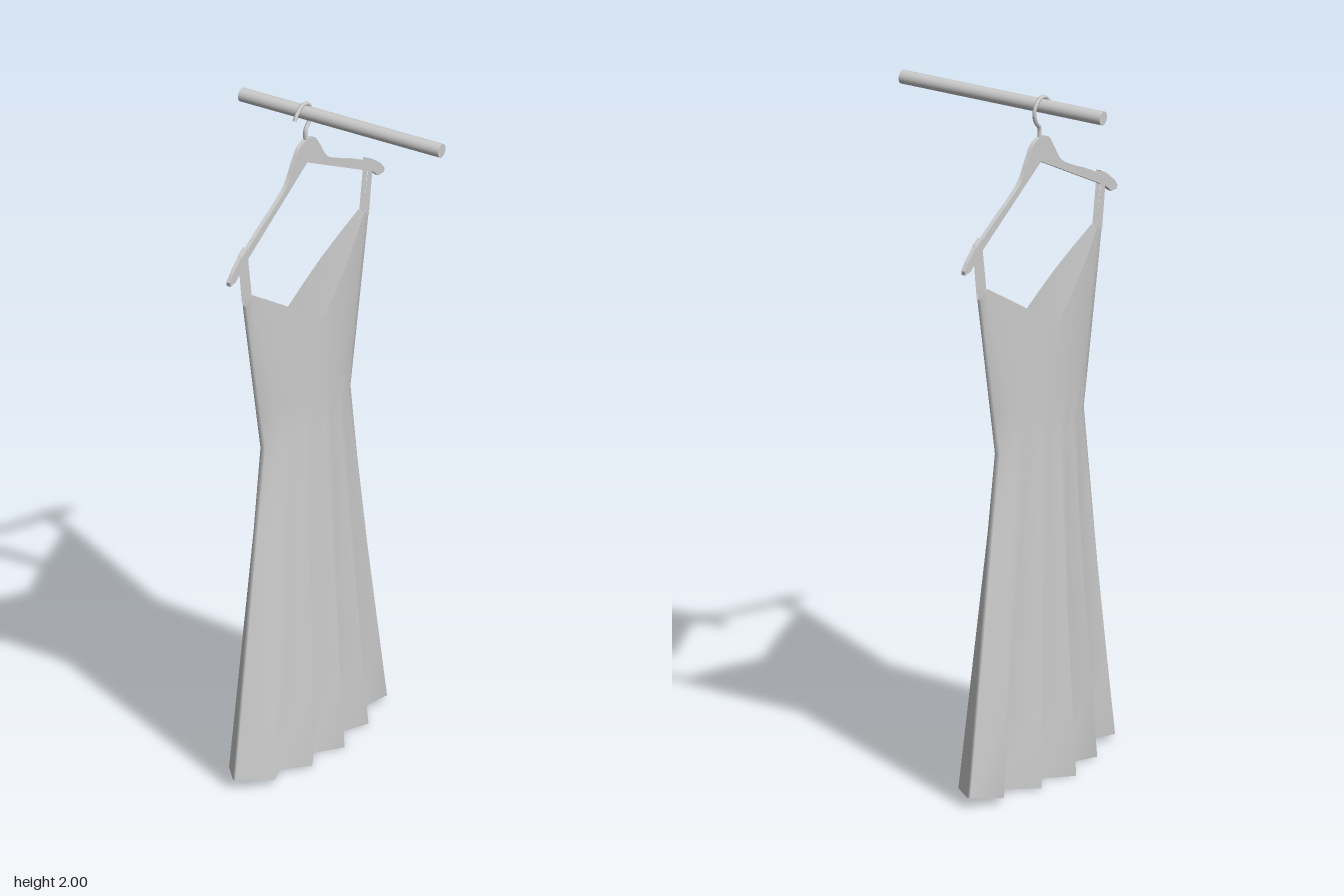
import * as THREE from 'three';

const CX = -0.125; // plane of the hanger and dress

function material(doubleSided = false) {
  return new THREE.MeshStandardMaterial({
    color: 0xcccccc,
    side: doubleSided ? THREE.DoubleSide : THREE.FrontSide,
  });
}

function addMesh(parent, name, geometry, doubleSided) {
  const mesh = new THREE.Mesh(geometry, material(doubleSided));
  mesh.name = name;
  parent.add(mesh);
  return mesh;
}

// Flat wooden hanger outline in (z, y), mirrored about the centre
function hangerGeometry() {
  const top = [[0, 1.883], [0.04, 1.872], [0.07, 1.835], [0.106, 1.785], [0.16, 1.752], [0.26, 1.705], [0.34, 1.662]];
  const tip = [[0.352, 1.665], [0.395, 1.632], [0.412, 1.612], [0.41, 1.6], [0.38, 1.602], [0.345, 1.63]];
  const curve = new THREE.SplineCurve(top.map(([z, y]) => new THREE.Vector2(z, y))).getPoints(24);
  const half = [...curve, ...tip.map(([z, y]) => new THREE.Vector2(z, y))];
  const mirrored = half.slice(1).reverse().map((p) => new THREE.Vector2(-p.x, p.y));
  const outline = [...half, new THREE.Vector2(0, 1.81), ...mirrored];
  const g = new THREE.ExtrudeGeometry(new THREE.Shape(outline), { depth: 0.012, bevelEnabled: false });
  return g.translate(0, 0, -0.006).rotateY(-Math.PI / 2).translate(CX, 0, 0);
}

// Dress levels: per column from centre to side seam, z, y and x offset to each side
const hemZ = [0, 0.075, 0.15, 0.225, 0.3, 0.38];
const hem = {
  z: hemZ,
  y: hemZ.map((z) => 0.005 + 0.03 * (z / 0.38) ** 2),
  right: [0.128, 0.073, 0.114, 0.057, 0.083, 0.004],
  left: [0.12, 0.05, 0.098, 0.01, 0.066, 0.004],
};
const waistX = [0.061, 0.058, 0.052, 0.043, 0.028, 0.008];
const waist = {
  z: [0, 0.045, 0.09, 0.135, 0.18, 0.227],
  y: Array(6).fill(1.01),
  right: waistX,
  left: waistX,
};
const neckX = [0.06, 0.052, 0.042, 0.027, 0.01, 0.006];
const neck = {
  z: [0, 0.075, 0.15, 0.225, 0.3, 0.325],
  y: [1.335, 1.383, 1.431, 1.479, 1.527, 1.5],
  right: neckX,
  left: neckX,
};

// Closed loop of points around one level
function ring(level) {
  const loop = [];
  const put = (k, sx, sz) =>
    loop.push(new THREE.Vector3(CX + sx * (sx > 0 ? level.right : level.left)[k], level.y[k], sz * level.z[k]));
  for (let k = 5; k >= 0; k--) put(k, 1, 1);
  for (let k = 1; k <= 5; k++) put(k, 1, -1);
  for (let k = 5; k >= 0; k--) put(k, -1, -1);
  for (let k = 1; k <= 5; k++) put(k, -1, 1);
  return loop;
}

function dressGeometry() {
  const [a, b, c] = [hem, waist, neck].map(ring);
  const rows = [];
  const steps = 4;
  for (let i = 0; i < steps; i++) rows.push(a.map((p, j) => p.clone().lerp(b[j], i / steps)));
  for (let i = 0; i <= steps; i++) rows.push(b.map((p, j) => p.clone().lerp(c[j], i / steps)));
  const n = a.length;
  const index = [];
  for (let r = 0; r < rows.length - 1; r++) {
    for (let j = 0; j < n; j++) {
      const p = r * n + j, q = r * n + ((j + 1) % n);
      index.push(p, q, q + n, p, q + n, p + n);
    }
  }
  const g = new THREE.BufferGeometry().setFromPoints(rows.flat());
  g.setIndex(index);
  g.computeVertexNormals();
  return g;
}

// Thin ribbon running up one face of the hanger, over it and down the other
function strapGeometry(side) {
  const path = [
    [0.008, 0.325, 1.5, 0.3, 1.527],
    [0.008, 0.345, 1.645, 0.318, 1.64],
    [0.008, 0.347, 1.668, 0.32, 1.682],
  ];
  const full = [...path, ...path.slice().reverse().map(([x, ...rest]) => [-x, ...rest])];
  const points = full.flatMap(([x, zo, yo, zi, yi]) => [
    new THREE.Vector3(CX + x, yo, side * zo),
    new THREE.Vector3(CX + x, yi, side * zi),
  ]);
  const index = [];
  for (let i = 0; i < full.length - 1; i++) {
    const p = i * 2;
    if (side > 0) index.push(p, p + 1, p + 3, p, p + 3, p + 2);
    else index.push(p, p + 3, p + 1, p, p + 2, p + 3);
  }
  const g = new THREE.BufferGeometry().setFromPoints(points);
  g.setIndex(index);
  const flat = g.toNonIndexed();
  flat.computeVertexNormals();
  return flat;
}

export function createModel() {
  const model = new THREE.Group();
  model.name = 'hangingDress';

  // Rail
  const rail = addMesh(model, 'rail', new THREE.CylinderGeometry(0.02, 0.02, 0.655, 24));
  rail.rotation.z = Math.PI / 2;
  rail.position.set(0, 1.972, 0.01);

  // Hanger with wire hook
  const hanger = new THREE.Group();
  hanger.name = 'hanger';
  model.add(hanger);
  addMesh(hanger, 'hangerBody', hangerGeometry());
  const hookPath = [[0, 1.875], [0, 1.91], [-0.016, 1.928], [-0.027, 1.955], [-0.02, 1.98], [0.003, 1.994], [0.03, 1.991], [0.05, 1.974], [0.058, 1.962]];
  const hookCurve = new THREE.CatmullRomCurve3(hookPath.map(([z, y]) => new THREE.Vector3(CX, y, z)));
  addMesh(hanger, 'hook', new THREE.TubeGeometry(hookCurve, 40, 0.006, 8));

  // Dress with pleated skirt and two straps
  const dress = new THREE.Group();
  dress.name = 'dress';
  model.add(dress);
  addMesh(dress, 'dressBody', dressGeometry(), true);
  addMesh(dress, 'frontStrap', strapGeometry(1), true);
  addMesh(dress, 'backStrap', strapGeometry(-1), true);

  return model;
}
